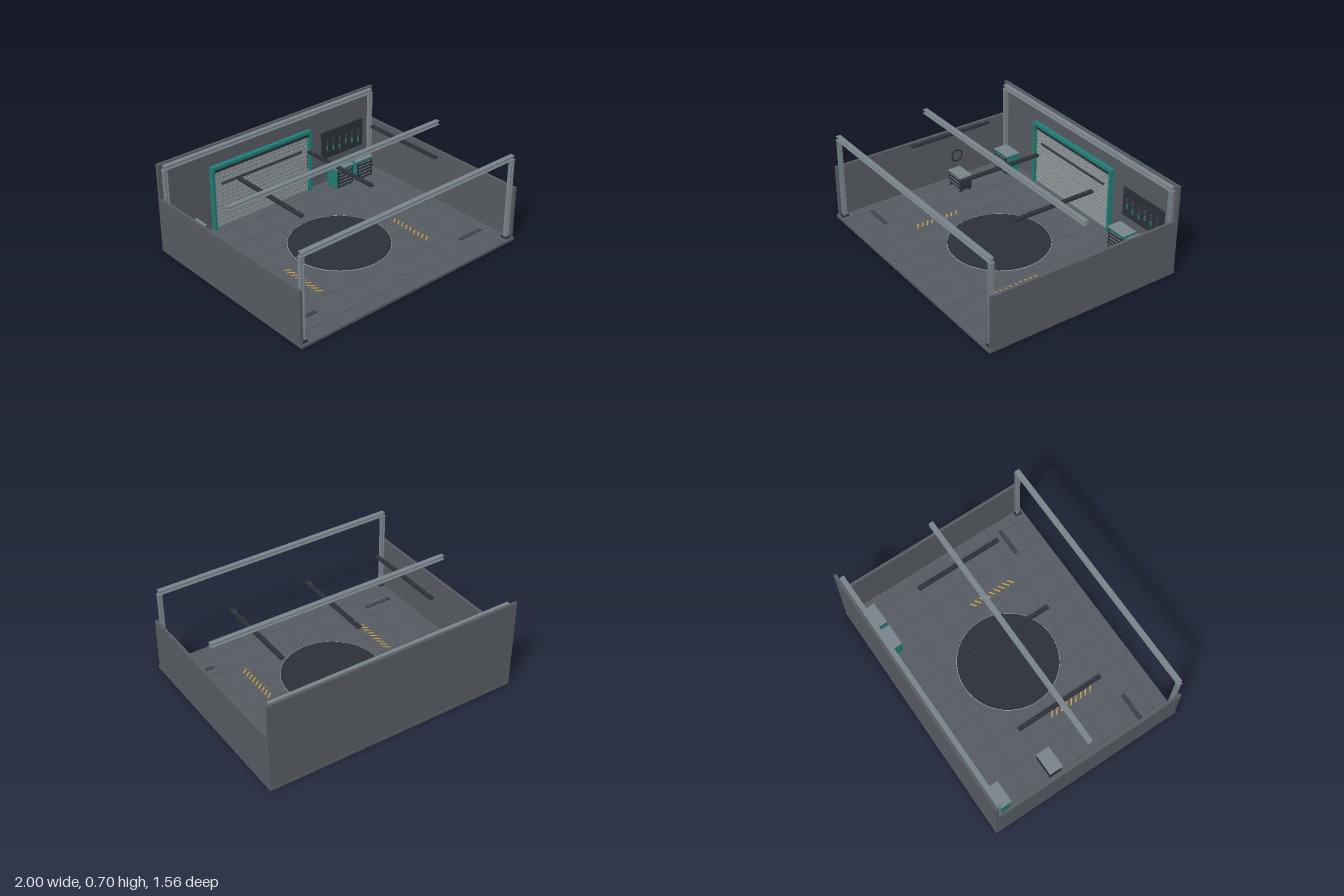
import * as THREE from 'three';

const mat = (color) => new THREE.MeshStandardMaterial({ color });
const M = {
  floor: mat(0x555b61), wall: mat(0x565b61), steel: mat(0x78838a), dark: mat(0x2b3138),
  joint: mat(0x40464c), teal: mat(0x1f7d74), slat: mat(0x8c9295), yellow: mat(0xc99c3a), pale: mat(0xc4c9cc),
};

function add(parent, name, geo, material, x = 0, y = 0, z = 0) {
  const m = new THREE.Mesh(geo, material);
  m.name = name;
  m.position.set(x, y, z);
  parent.add(m);
  return m;
}

// Box given by its extents
function box(parent, name, material, x0, x1, y0, y1, z0, z1) {
  return add(parent, name, new THREE.BoxGeometry(x1 - x0, y1 - y0, z1 - z0), material,
    (x0 + x1) / 2, (y0 + y1) / 2, (z0 + z1) / 2);
}

function group(parent, name, x = 0, y = 0, z = 0) {
  const g = new THREE.Group();
  g.name = name;
  g.position.set(x, y, z);
  parent.add(g);
  return g;
}

// I-section extruded along z: w across the flanges, h overall, centred
function iSection(w, h, t, length) {
  const a = w / 2, b = h / 2, c = t / 2;
  const pts = [[-a, -b], [a, -b], [a, -b + t], [c, -b + t], [c, b - t], [a, b - t],
    [a, b], [-a, b], [-a, b - t], [-c, b - t], [-c, -b + t], [-a, -b + t]];
  const shape = new THREE.Shape(pts.map(([x, y]) => new THREE.Vector2(x, y)));
  return new THREE.ExtrudeGeometry(shape, { depth: length, bevelEnabled: false }).translate(0, 0, -length / 2);
}

function structure(g) {
  box(g, 'floorSlab', M.floor, -1, 1, 0, 0.02, -0.78, 0.78);
  box(g, 'backWall', M.wall, -1, 1, 0.02, 0.7, -0.777, -0.755);
  for (const s of [-1, 1]) {
    add(g, s > 0 ? 'leftWall' : 'rightWall', new THREE.BoxGeometry(0.022, 0.41, 1.52), M.wall, s * 0.988, 0.225, 0.005);
  }
  // Overhead beams
  for (const z of [-0.735, 0, 0.735]) {
    add(g, 'roofBeam', iSection(0.036, 0.034, 0.007, 1.93).rotateY(Math.PI / 2), M.steel, 0, 0.673, z);
  }
  // Columns with base and cap plates
  for (const x of [-0.957, 0.957]) for (const z of [-0.735, 0.735]) {
    const c = group(g, 'column', x, 0, z);
    add(c, 'columnShaft', iSection(0.03, 0.03, 0.006, 0.626).rotateZ(Math.PI / 2).rotateX(Math.PI / 2), M.steel, 0, 0.343, 0);
    box(c, 'basePlate', M.dark, -0.025, 0.025, 0.02, 0.03, -0.025, 0.028);
    box(c, 'capPlate', M.steel, -0.018, 0.018, 0.65, 0.658, -0.018, 0.018);
  }
}

function floorDetails(g) {
  // Joints of the floor panels
  for (let i = -4; i <= 4; i++) {
    const p = i * 0.222;
    box(g, 'floorJointLong', M.joint, p - 0.001, p + 0.001, 0.02, 0.0206, -0.75, 0.775);
    if (Math.abs(i) < 4) box(g, 'floorJointCross', M.joint, -0.975, 0.975, 0.02, 0.0206, p - 0.001, p + 0.001);
  }
  // Turntable with a fine rim
  add(g, 'turntable', new THREE.CylinderGeometry(0.375, 0.375, 0.003, 72), M.dark, 0, 0.0215, 0);
  add(g, 'turntableRim', new THREE.TorusGeometry(0.376, 0.0018, 6, 72).rotateX(Math.PI / 2), M.pale, 0, 0.0215, 0);
  for (const s of [-1, 1]) {
    // Hazard stripes
    for (let i = 0; i < 9; i++) {
      const m = add(g, 'hazardStripe', new THREE.BoxGeometry(0.055, 0.0015, 0.01), M.yellow, s * 0.512, 0.0208, 0.035 + i * 0.042);
      m.rotation.y = s * 0.65;
    }
    // Drain grate
    const d = group(g, 'drain', s * 0.79, 0.02, 0.54);
    box(d, 'drainBase', M.dark, -0.11, 0.11, 0, 0.0015, -0.016, 0.016);
    for (let i = 0; i < 14; i++) {
      const x = -0.098 + i * 0.0151;
      box(d, 'drainBar', M.wall, x - 0.003, x + 0.003, 0.0015, 0.003, -0.012, 0.012);
    }
  }
}

function rollerDoor(g) {
  const d = group(g, 'rollerDoor', -0.112, 0, -0.755);
  box(d, 'doorBacking', M.dark, -0.445, 0.445, 0.02, 0.515, 0, 0.012);
  for (const s of [-1, 1]) {
    box(d, 'doorJamb', M.teal, s * 0.4515 - 0.0105, s * 0.4515 + 0.0105, 0.02, 0.535, 0, 0.037);
  }
  box(d, 'doorHeader', M.teal, -0.441, 0.441, 0.512, 0.535, 0, 0.037);
  box(d, 'rollHousing', M.dark, -0.441, 0.441, 0.485, 0.512, 0, 0.03);
  for (let i = 0; i < 14; i++) {
    const y = 0.027 + i * 0.0327;
    box(d, 'doorSlat', M.slat, -0.432, 0.432, y, y + 0.025, 0.01, 0.02);
  }
  // Narrow window strip
  box(d, 'windowStrip', M.dark, -0.375, 0.375, 0.367, 0.384, 0.015, 0.024);
  for (let i = 0; i < 5; i++) {
    const x = -0.3 + i * 0.15;
    box(d, 'windowPane', M.joint, x - 0.07, x + 0.07, 0.371, 0.38, 0.022, 0.025);
  }
}

function pegboard(g) {
  const p = group(g, 'pegboard', 0.68, 0.342, -0.755);
  box(p, 'boardPanel', M.dark, -0.21, 0.21, -0.114, 0.114, 0, 0.012);
  for (let i = 0; i < 6; i++) {
    const x = -0.16 + i * 0.064, len = 0.035 + (i % 3) * 0.012;
    box(p, 'toolHook', M.joint, x - 0.006, x + 0.006, 0.03, 0.036, 0.012, 0.026);
    box(p, 'toolShaft', M.joint, x - 0.003, x + 0.003, 0.03 - len, 0.03, 0.013, 0.019);
    box(p, 'toolHandle', M.teal, x - 0.005, x + 0.005, -0.01 - len, 0.03 - len, 0.012, 0.022);
  }
}

function drawers(g, x0, x1, y0, y1, z, n) {
  const h = (y1 - y0) / n;
  for (let i = 0; i < n; i++) {
    const y = y0 + i * h;
    box(g, 'drawerFront', M.dark, x0, x1, y + 0.002, y + h - 0.002, z, z + 0.004);
    box(g, 'drawerPull', M.steel, x0 + 0.015, x1 - 0.015, y + h * 0.66, y + h * 0.66 + 0.004, z + 0.004, z + 0.008);
  }
}

function cabinet(g, x) {
  const c = group(g, 'toolCabinet', x, 0, -0.65);
  box(c, 'cabinetBody', M.teal, -0.083, 0.083, 0.028, 0.182, -0.06, 0.054);
  box(c, 'cabinetPlinth', M.dark, -0.076, 0.076, 0.02, 0.028, -0.055, 0.048);
  box(c, 'cabinetRim', M.teal, -0.089, 0.089, 0.18, 0.19, -0.062, 0.061);
  box(c, 'worktop', M.steel, -0.087, 0.087, 0.19, 0.194, -0.061, 0.06);
  drawers(c, -0.078, 0.078, 0.034, 0.174, 0.054, 5);
}

function cart(g) {
  const c = group(g, 'toolCart', -0.81, 0, -0.202);
  box(c, 'cartBody', M.dark, -0.083, 0.083, 0.042, 0.142, -0.05, 0.046);
  box(c, 'cartTop', M.steel, -0.087, 0.087, 0.142, 0.15, -0.054, 0.054);
  drawers(c, -0.08, 0.08, 0.046, 0.138, 0.046, 3);
  for (const x of [-0.068, 0.068]) for (const z of [-0.038, 0.038]) {
    add(c, 'castor', new THREE.CylinderGeometry(0.012, 0.012, 0.01, 16).rotateZ(Math.PI / 2), M.dark, x, 0.032, z);
  }
}

function hoseReel(g) {
  const h = group(g, 'hoseReel', -0.97, 0.2, -0.28);
  add(h, 'hoseCoil', new THREE.TorusGeometry(0.046, 0.006, 10, 36).rotateY(Math.PI / 2), M.dark);
  add(h, 'reelBracket', new THREE.BoxGeometry(0.012, 0.012, 0.02), M.dark, -0.002, 0.046, 0);
}

function ceilingLights(g) {
  for (const x of [-0.613, 0, 0.613]) {
    const l = group(g, 'stripLight', x, 0, 0);
    box(l, 'lightHousing', M.dark, -0.016, 0.016, 0.621, 0.636, -0.333, 0.333);
    for (const z of [-0.278, 0.278]) {
      add(l, 'hangerRod', new THREE.CylinderGeometry(0.0015, 0.0015, 0.03, 8), M.steel, 0, 0.65, z);
    }
  }
}

export function createModel() {
  const g = new THREE.Group();
  g.name = 'workshopBay';
  structure(g);
  floorDetails(g);
  rollerDoor(g);
  pegboard(g);
  for (const x of [-0.822, 0.58, 0.781]) cabinet(g, x);
  cart(g);
  hoseReel(g);
  ceilingLights(g);
  return g;
}
